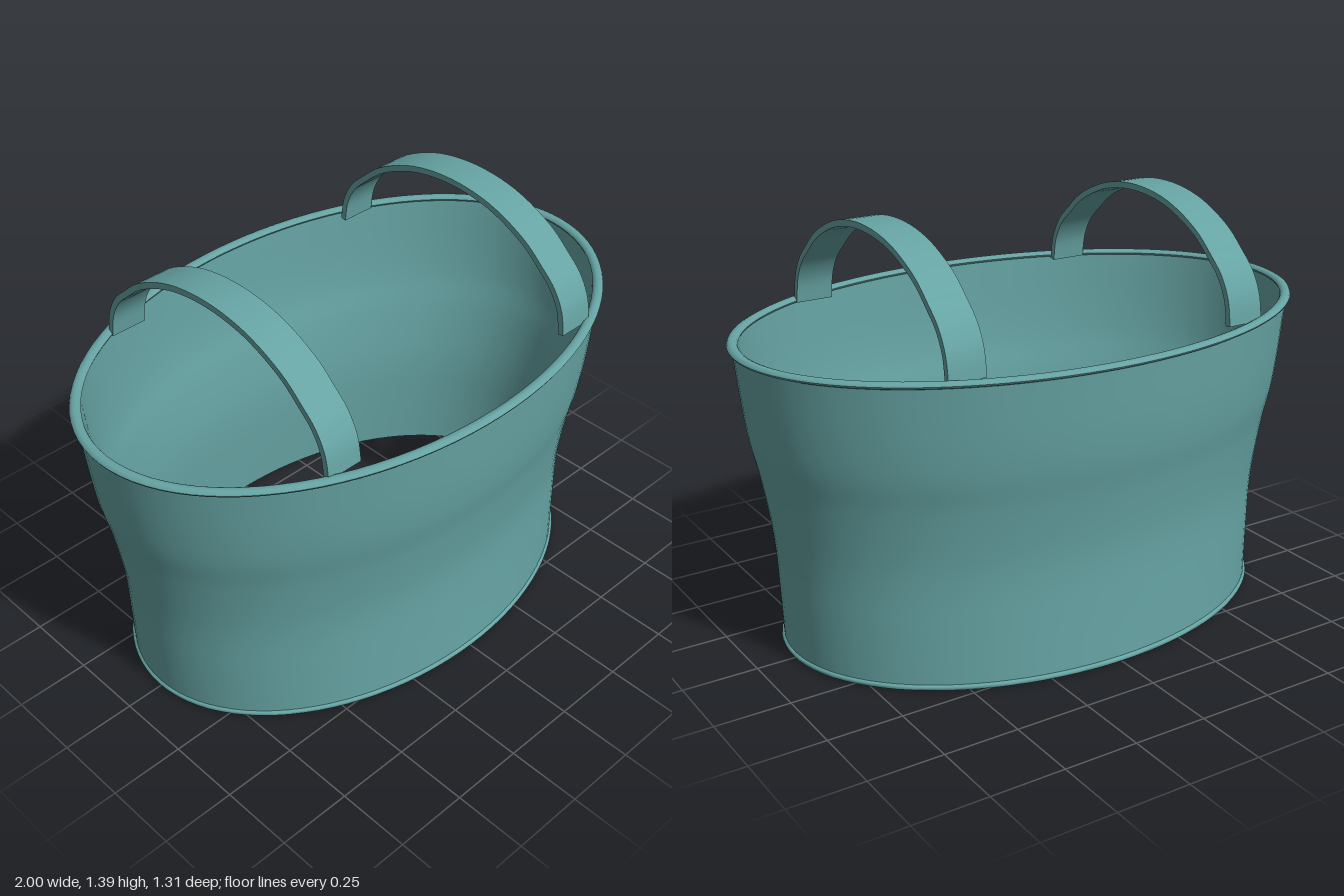
import * as THREE from 'three';
import { toCreasedNormals } from 'three/addons/utils/BufferGeometryUtils.js';

const SEGMENTS = 96;
const WALL = 0.018;

// Sweeps a closed section of [rx, rz, y] points around an ellipse.
function ellipticLoft(section, crease = 0.9) {
  const positions = [];
  const index = [];
  const n = section.length;
  for (const [rx, rz, y] of section) {
    for (let j = 0; j < SEGMENTS; j++) {
      const t = (j / SEGMENTS) * Math.PI * 2;
      positions.push(rx * Math.cos(t), y, rz * Math.sin(t));
    }
  }
  for (let i = 0; i < n; i++) {
    const up = (i + 1) % n;
    for (let j = 0; j < SEGMENTS; j++) {
      const k = (j + 1) % SEGMENTS;
      const a = i * SEGMENTS + j, b = up * SEGMENTS + j;
      const c = up * SEGMENTS + k, d = i * SEGMENTS + k;
      index.push(a, b, d, b, c, d);
    }
  }
  const geometry = new THREE.BufferGeometry();
  geometry.setAttribute('position', new THREE.Float32BufferAttribute(positions, 3));
  geometry.setIndex(index);
  return toCreasedNormals(geometry, crease);
}

// Rounded bead running around an ellipse.
function bead(rx, rz, y, width, height) {
  const section = [];
  for (let i = 0; i < 10; i++) {
    const t = (i / 10) * Math.PI * 2;
    const r = Math.cos(t) * width;
    section.push([rx + r, rz + r, y + Math.sin(t) * height]);
  }
  return ellipticLoft(section);
}

// Thin strap following an arch in the z-y plane.
function strap(width, thickness) {
  const half = [[0.5, 1.02], [0.487, 1.1], [0.452, 1.168], [0.4, 1.22], [0.31, 1.292], [0.165, 1.354]];
  const path = [...half, [0, 1.375], ...half.map(([z, y]) => [-z, y]).reverse()];
  const curve = new THREE.SplineCurve(path.map(([z, y]) => new THREE.Vector2(z, y)));
  const outer = [], inner = [];
  for (let i = 0; i <= 60; i++) {
    const p = curve.getPoint(i / 60);
    const t = curve.getTangent(i / 60);
    const normal = new THREE.Vector2(t.y, -t.x).multiplyScalar(thickness / 2);
    outer.push(p.clone().add(normal));
    inner.unshift(p.clone().sub(normal));
  }
  const geometry = new THREE.ExtrudeGeometry(new THREE.Shape([...outer, ...inner]), {
    depth: width, bevelEnabled: false, steps: 1,
  });
  geometry.translate(0, 0, -width / 2);
  geometry.rotateY(Math.PI / 2);
  return toCreasedNormals(geometry, 0.7);
}

export function createModel() {
  const group = new THREE.Group();
  const material = new THREE.MeshStandardMaterial({ color: 0x66a3a3, side: THREE.DoubleSide });
  const add = (name, geometry) => {
    const mesh = new THREE.Mesh(geometry, material);
    mesh.name = name;
    group.add(mesh);
    return mesh;
  };

  // Open oval wall with a gentle waist: [rx, rz, y]
  const profile = new THREE.CatmullRomCurve3([
    [0.865, 0.583, 0.005], [0.875, 0.573, 0.2], [0.882, 0.569, 0.33], [0.893, 0.573, 0.43],
    [0.922, 0.595, 0.6], [0.947, 0.616, 0.71], [0.963, 0.629, 0.82], [0.986, 0.642, 1.025],
  ].map((p) => new THREE.Vector3(...p))).getPoints(40);
  const outside = profile.map((p) => [p.x, p.z === undefined ? 0 : p.y, p.z]);
  const inside = outside.map(([rx, rz, y]) => [rx - WALL, rz - WALL, y]).reverse();
  add('basketWall', ellipticLoft([...outside, ...inside]));

  // Beads at the top and bottom edges
  add('topRim', bead(0.982, 0.635, 1.024, 0.018, 0.011));
  add('bottomRim', bead(0.862, 0.58, 0.01, 0.012, 0.01));

  // Two arched handles spanning front to back
  for (const side of [-1, 1]) {
    const handle = add(side > 0 ? 'leftHandle' : 'rightHandle', strap(0.128, 0.021));
    handle.position.x = side * 0.514;
  }
  return group;
}
